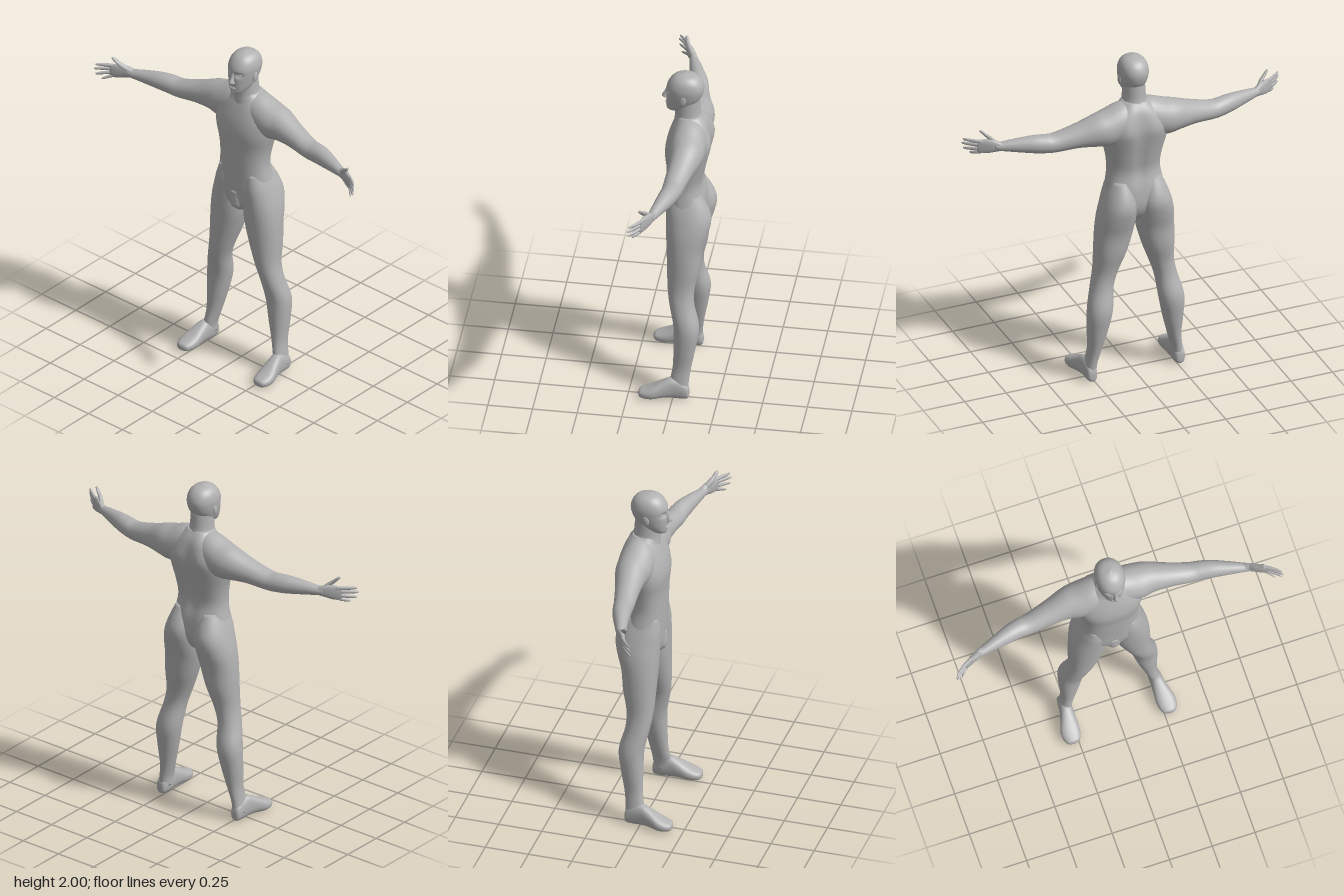
import * as THREE from 'three';

const skin = new THREE.MeshStandardMaterial({ color: 0xb2b2b2 });
skin.name = 'grey skin';

// How a section (t along the axis, a and b across it) maps to a point
const AXES = {
  y: (t, a, b) => new THREE.Vector3(a, t, b), // a = x, b = z
  x: (t, a, b) => new THREE.Vector3(t, a, b), // a = y, b = z
  z: (t, a, b) => new THREE.Vector3(a, b, t), // a = x, b = y
};

// Smooth closed skin over rounded sections [t, aLow, aHigh, bLow, bHigh]
function loft(name, sections, axis, { side = 1, power = 2, sides = 28, steps = 4, shape } = {}) {
  const pos = [], index = [];
  const n = sections.length;
  const rows = (n - 1) * steps + 1;
  const mix = (k, i, f) => {
    const p = (j) => sections[Math.min(n - 1, Math.max(0, j))][k];
    const v1 = (p(i + 1) - p(i - 1)) / 2, v2 = (p(i + 2) - p(i)) / 2;
    const f2 = f * f, f3 = f2 * f;
    return (2 * f3 - 3 * f2 + 1) * p(i) + (f3 - 2 * f2 + f) * v1 + (3 * f2 - 2 * f3) * p(i + 1) + (f3 - f2) * v2;
  };
  const add = (t, a, b) => {
    const v = AXES[axis](t, a, b);
    if (shape) shape(v);
    pos.push(v.x * side, v.y, v.z);
  };
  const round = (c) => Math.sign(c) * Math.abs(c) ** (2 / power);
  const centres = [];
  for (let r = 0; r < rows; r++) {
    const i = Math.min(n - 2, Math.floor(r / steps)), f = r / steps - i;
    const [t, a0, a1, b0, b1] = [0, 1, 2, 3, 4].map((k) => mix(k, i, f));
    centres.push([t, (a0 + a1) / 2, (b0 + b1) / 2]);
    for (let j = 0; j < sides; j++) {
      const w = (j / sides) * Math.PI * 2;
      add(t, (a0 + a1) / 2 + ((a1 - a0) / 2) * round(Math.cos(w)), (b0 + b1) / 2 + ((b1 - b0) / 2) * round(Math.sin(w)));
    }
  }
  add(...centres[0]);
  add(...centres[rows - 1]);
  const flip = (axis === 'z') === (side > 0);
  const tri = (a, b, c) => (flip ? index.push(a, b, c) : index.push(a, c, b));
  for (let j = 0; j < sides; j++) {
    const k = (j + 1) % sides;
    for (let r = 0; r < rows - 1; r++) {
      const a = r * sides + j, b = r * sides + k;
      tri(a, b, b + sides);
      tri(a, b + sides, a + sides);
    }
    tri(rows * sides, k, j);
    tri(rows * sides + 1, (rows - 1) * sides + j, (rows - 1) * sides + k);
  }
  // Keep every skin facing outwards
  let volume = 0;
  const P = (i) => new THREE.Vector3().fromArray(pos, i * 3);
  for (let i = 0; i < index.length; i += 3) volume += P(index[i]).dot(P(index[i + 1]).cross(P(index[i + 2])));
  if (volume < 0) index.reverse();
  const geo = new THREE.BufferGeometry();
  geo.setAttribute('position', new THREE.Float32BufferAttribute(pos, 3));
  geo.setIndex(index);
  geo.computeVertexNormals();
  const mesh = new THREE.Mesh(geo, skin);
  mesh.name = name;
  return mesh;
}

function ellipsoid(name, [x, y, z], [rx, ry, rz], tilt = 0) {
  const mesh = new THREE.Mesh(new THREE.SphereGeometry(1, 18, 12), skin);
  mesh.name = name;
  mesh.position.set(x, y, z);
  mesh.scale.set(rx, ry, rz);
  mesh.rotation.x = tilt;
  return mesh;
}

const bump = (d, width) => Math.exp(-((d / width) ** 2));

export function createModel() {
  const body = new THREE.Group();
  body.name = 'body';

  // Torso with a spine groove and shoulder blades
  body.add(loft('torso', [
    [0.99, -0.04, 0.04, -0.09, 0.04],
    [1.03, -0.11, 0.11, -0.13, 0.058],
    [1.1, -0.185, 0.185, -0.155, 0.066],
    [1.2, -0.168, 0.168, -0.152, 0.068],
    [1.3, -0.153, 0.153, -0.133, 0.07],
    [1.4, -0.163, 0.163, -0.15, 0.072],
    [1.5, -0.188, 0.188, -0.17, 0.08],
    [1.58, -0.195, 0.195, -0.178, 0.068],
    [1.65, -0.165, 0.165, -0.168, 0.045],
    [1.7, -0.11, 0.11, -0.15, 0.025],
    [1.74, -0.07, 0.07, -0.12, 0.015],
  ], 'y', {
    power: 2.3, sides: 48,
    shape: (v) => {
      if (v.z > -0.06) return;
      v.z += 0.014 * bump(v.x, 0.03) * bump(v.y - 1.45, 0.25);
      v.z -= 0.012 * bump(Math.abs(v.x) - 0.09, 0.05) * bump(v.y - 1.58, 0.07);
    },
  }));
  body.add(loft('groin', [
    [0.995, -0.012, 0.012, 0.0, 0.045],
    [1.015, -0.034, 0.034, 0.0, 0.067],
    [1.05, -0.045, 0.045, 0.0, 0.073],
    [1.12, -0.05, 0.05, 0.0, 0.068],
  ], 'y'));

  // Neck and head, with shallow eye sockets
  body.add(loft('neck', [
    [1.66, -0.11, 0.11, -0.15, 0.035],
    [1.71, -0.082, 0.082, -0.135, 0.03],
    [1.75, -0.067, 0.067, -0.117, 0.028],
    [1.85, -0.062, 0.062, -0.11, 0.03],
  ], 'y'));
  body.add(loft('head', [
    [1.758, -0.018, 0.018, 0.015, 0.06],
    [1.77, -0.04, 0.04, -0.02, 0.073],
    [1.8, -0.06, 0.06, -0.075, 0.076],
    [1.84, -0.073, 0.073, -0.112, 0.077],
    [1.88, -0.081, 0.081, -0.13, 0.076],
    [1.92, -0.083, 0.083, -0.134, 0.073],
    [1.96, -0.072, 0.072, -0.118, 0.053],
    [1.987, -0.046, 0.046, -0.085, 0.022],
    [2.0, -0.003, 0.003, -0.03, -0.024],
  ], 'y', {
    power: 2.15, sides: 56, steps: 7,
    shape: (v) => {
      if (v.z > 0) v.z -= 0.014 * bump(Math.abs(v.x) - 0.034, 0.018) * bump(v.y - 1.888, 0.014);
    },
  }));
  body.add(loft('nose', [
    [1.828, -0.008, 0.008, 0.06, 0.08],
    [1.836, -0.017, 0.017, 0.06, 0.096],
    [1.846, -0.014, 0.014, 0.06, 0.102],
    [1.87, -0.009, 0.009, 0.06, 0.088],
    [1.9, -0.008, 0.008, 0.055, 0.075],
  ], 'y', { sides: 16 }));
  body.add(ellipsoid('upperLip', [0, 1.806, 0.073], [0.024, 0.004, 0.008]));
  body.add(ellipsoid('lowerLip', [0, 1.797, 0.072], [0.02, 0.005, 0.008]));
  body.add(ellipsoid('chin', [0, 1.775, 0.06], [0.022, 0.014, 0.017]));

  for (const side of [1, -1]) {
    const half = new THREE.Group();
    half.name = side > 0 ? 'leftSide' : 'rightSide';
    body.add(half);

    half.add(ellipsoid('eye', [side * 0.034, 1.888, 0.052], [0.014, 0.007, 0.009]));
    half.add(ellipsoid('ear', [side * 0.079, 1.86, -0.027], [0.008, 0.031, 0.018], -0.2));

    // Shoulder and arm, running from the breastbone to the wrist
    half.add(loft('arm', [
      [0, 1.5, 1.735, -0.15, 0.03],
      [0.09, 1.5, 1.733, -0.162, 0.035],
      [0.18, 1.49, 1.702, -0.165, 0.035],
      [0.25, 1.5, 1.682, -0.153, 0.022],
      [0.35, 1.505, 1.642, -0.122, 0.02],
      [0.47, 1.495, 1.605, -0.092, 0.026],
      [0.53, 1.497, 1.605, -0.08, 0.03],
      [0.6, 1.504, 1.605, -0.06, 0.04],
      [0.7, 1.518, 1.592, -0.018, 0.055],
      [0.77, 1.528, 1.58, 0.013, 0.066],
      [0.8, 1.53, 1.582, 0.028, 0.07],
    ], 'x', { side }));

    // Hand, palm forward with spread fingers
    half.add(loft('palm', [
      [0.76, 1.53, 1.578, 0.013, 0.058],
      [0.8, 1.522, 1.594, 0.03, 0.072],
      [0.84, 1.512, 1.598, 0.052, 0.088],
      [0.875, 1.512, 1.592, 0.075, 0.1],
      [0.885, 1.52, 1.584, 0.083, 0.1],
    ], 'x', { side, power: 2.4 }));
    const finger = (name, path) => half.add(loft(name,
      path.map(([x, y, z, r]) => [x, y - r, y + r, z - r, z + r]), 'x', { side, sides: 12 }));
    // Base y, tip x, tip y, tip z
    [[1.582, 0.95, 1.588, 0.143], [1.563, 0.955, 1.562, 0.15],
      [1.542, 0.947, 1.53, 0.147], [1.524, 0.915, 1.503, 0.13]].forEach(([y, tx, ty, tz], i) => {
      const at = (f, r) => [0.86 + (tx - 0.86) * f, y + (ty - y) * f, 0.078 + (tz - 0.078) * (0.75 * f + 0.25 * f * f), r];
      finger('finger' + (i + 1), [at(0, 0.011), at(0.4, 0.0105), at(0.75, 0.009), at(0.95, 0.006), at(1, 0.001)]);
    });
    finger('thumb', [
      [0.78, 1.568, 0.045, 0.014], [0.81, 1.594, 0.068, 0.016], [0.835, 1.615, 0.083, 0.013],
      [0.855, 1.635, 0.092, 0.011], [0.866, 1.642, 0.096, 0.006], [0.869, 1.644, 0.097, 0.001],
    ]);

    // Leg from buttock to ankle
    half.add(loft('leg', [
      [0.05, 0.228, 0.298, -0.086, 0.01],
      [0.11, 0.224, 0.288, -0.088, 0.016],
      [0.2, 0.2, 0.278, -0.1, 0.004],
      [0.32, 0.168, 0.285, -0.122, 0.002],
      [0.45, 0.142, 0.286, -0.138, 0.004],
      [0.58, 0.127, 0.256, -0.108, 0.03],
      [0.68, 0.095, 0.238, -0.108, 0.044],
      [0.8, 0.05, 0.236, -0.134, 0.05],
      [0.92, 0.016, 0.232, -0.148, 0.056],
      [1.02, 0.004, 0.222, -0.176, 0.06],
      [1.1, 0.004, 0.203, -0.19, 0.062],
      [1.17, 0.015, 0.18, -0.172, 0.062],
      [1.25, 0.04, 0.148, -0.13, 0.05],
    ], 'y', { side, sides: 36, power: 2.15 }));

    // Foot from heel to toes
    half.add(loft('foot', [
      [-0.09, 0.25, 0.278, 0.02, 0.06],
      [-0.08, 0.236, 0.292, 0.004, 0.09],
      [-0.04, 0.228, 0.298, 0.0, 0.12],
      [0.01, 0.228, 0.304, 0.003, 0.13],
      [0.06, 0.226, 0.318, 0.004, 0.108],
      [0.11, 0.224, 0.334, 0.0, 0.08],
      [0.15, 0.23, 0.332, 0.002, 0.062],
      [0.18, 0.245, 0.318, 0.008, 0.05],
      [0.19, 0.27, 0.295, 0.018, 0.038],
    ], 'z', { side, power: 2.4 }));
  }

  const model = new THREE.Group();
  model.name = 'standingFigure';
  model.add(body);
  return model;
}
